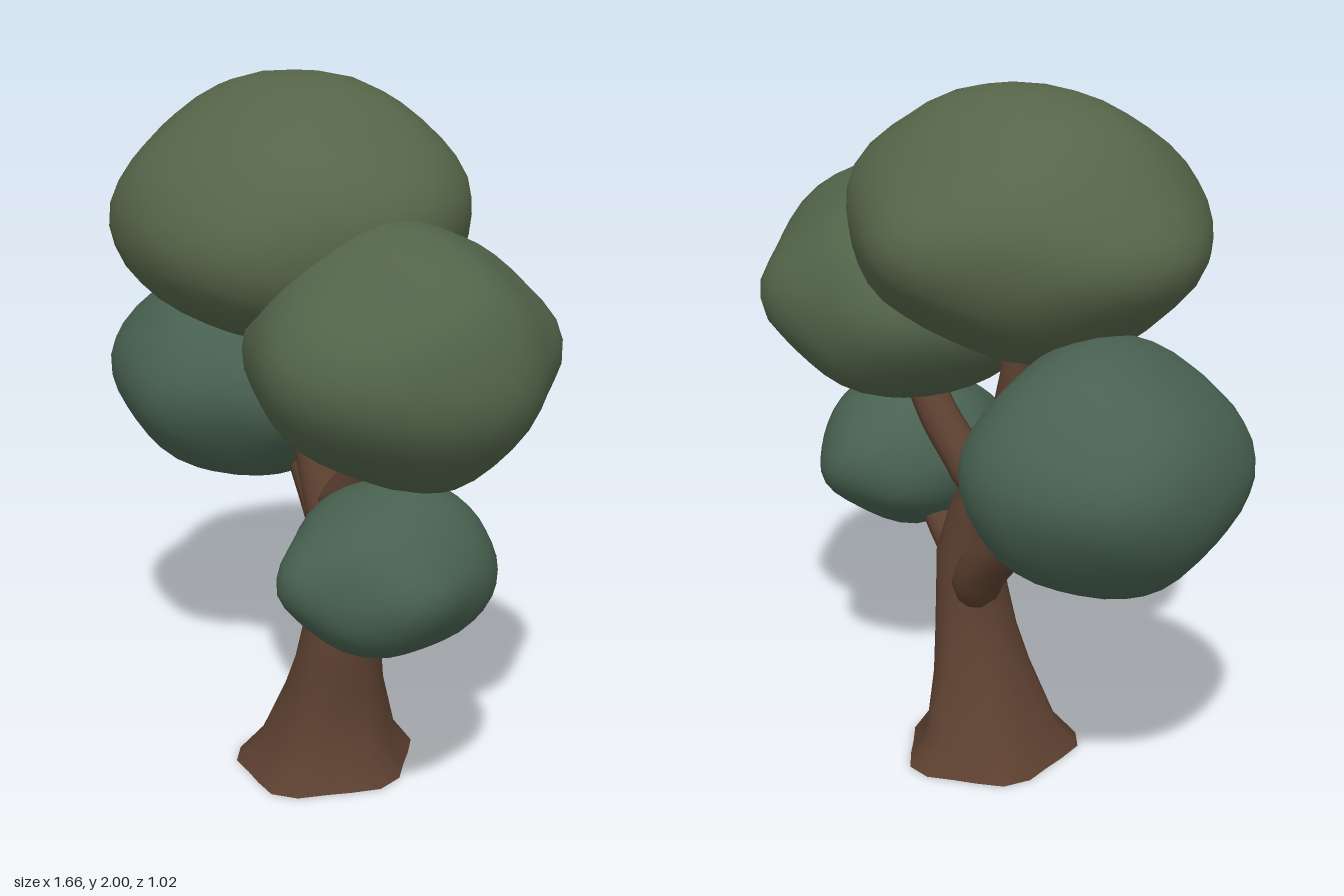
import * as THREE from 'three';
import { mergeVertices, toCreasedNormals } from 'three/addons/utils/BufferGeometryUtils.js';

const paint = (color) => new THREE.MeshStandardMaterial({ color });
const bark = paint(0x5c4030);

function addMesh(group, name, geometry, material) {
  const mesh = new THREE.Mesh(geometry, material);
  mesh.name = name;
  group.add(mesh);
}

// Weld a geometry so that its normals run smoothly over seams
function weld(geometry) {
  geometry.deleteAttribute('uv');
  geometry.deleteAttribute('normal');
  return mergeVertices(geometry, 1e-4);
}

// Trunk: horizontal rings of [x, y, z, x radius, z radius], with root lobes at the foot
function trunkGeometry() {
  const rings = [
    [0.05, 0, 0.005, 0.235, 0.26],
    [0.055, 0.08, 0, 0.178, 0.2],
    [0.088, 0.25, 0.005, 0.13, 0.152],
    [0.113, 0.36, 0.01, 0.11, 0.13],
    [0.13, 0.48, 0.012, 0.096, 0.114],
    [0.128, 0.62, 0, 0.09, 0.1],
    [0.085, 0.78, 0, 0.078, 0.082],
    [0.022, 0.9, 0, 0.066, 0.068],
    [-0.025, 1.02, 0, 0.058, 0.058],
    [-0.06, 1.2, 0, 0.048, 0.05],
    [-0.07, 1.42, 0, 0.04, 0.04],
  ];
  const geometry = weld(new THREE.CylinderGeometry(1, 1, 1, 20, rings.length - 1));
  const p = geometry.attributes.position;
  for (let i = 0; i < p.count; i++) {
    const row = Math.round((p.getY(i) + 0.5) * (rings.length - 1));
    const [x, y, z, rx, rz] = rings[row];
    const angle = Math.atan2(p.getZ(i), p.getX(i));
    const lobe = 1 + 0.07 * Math.max(0, 1 - y / 0.4) * Math.cos(5 * angle + 0.6);
    p.setXYZ(i, x + p.getX(i) * rx * lobe, y, z + p.getZ(i) * rz * lobe);
  }
  return toCreasedNormals(geometry, 1);
}

// Branch: a tube with a rounded start that tapers along its path
function branchGeometry(points, startRadius, endRadius) {
  const path = new THREE.CatmullRomCurve3(points.map((q) => new THREE.Vector3(...q)));
  const segments = 20, sides = 10;
  const geometry = new THREE.TubeGeometry(path, segments, 1, sides);
  const p = geometry.attributes.position, v = new THREE.Vector3();
  for (let i = 0; i < p.count; i++) {
    const t = Math.floor(i / (sides + 1)) / segments;
    const round = Math.sqrt(1 - Math.max(0, 1 - t / 0.15) ** 2);
    const radius = THREE.MathUtils.lerp(startRadius, endRadius, t) * round;
    const centre = path.getPointAt(t);
    v.fromBufferAttribute(p, i).sub(centre).multiplyScalar(radius).add(centre);
    p.setXYZ(i, v.x, v.y, v.z);
  }
  const smooth = weld(geometry);
  smooth.computeVertexNormals();
  return smooth;
}

// Foliage: a sphere with soft bumps, fitted between two corners
function foliageGeometry(min, max, bumps, seed) {
  const geometry = weld(new THREE.IcosahedronGeometry(1, 6));
  const p = geometry.attributes.position, v = new THREE.Vector3();
  const peaks = bumps.map((b) => new THREE.Vector3(...b).normalize());
  for (let i = 0; i < p.count; i++) {
    v.fromBufferAttribute(p, i).normalize();
    let r = 1;
    for (const peak of peaks) r += 0.1 * Math.exp(-((v.angleTo(peak) / 0.42) ** 2));
    r += 0.022 * Math.sin(5 * v.x + seed) * Math.sin(5 * v.y + 2 * seed) + 0.018 * Math.sin(6 * v.z + 3 * v.x + 3 * seed);
    v.multiplyScalar(r);
    p.setXYZ(i, v.x, v.y, v.z);
  }
  geometry.computeBoundingBox();
  const from = geometry.boundingBox, size = from.getSize(new THREE.Vector3());
  const low = new THREE.Vector3(...min), span = new THREE.Vector3(...max).sub(low);
  for (let i = 0; i < p.count; i++) {
    v.fromBufferAttribute(p, i).sub(from.min).divide(size).multiply(span).add(low);
    p.setXYZ(i, v.x, v.y, v.z);
  }
  geometry.computeVertexNormals();
  return geometry;
}

export function createModel() {
  const tree = new THREE.Group();
  tree.name = 'tree';

  addMesh(tree, 'trunk', trunkGeometry(), bark);

  const branches = [
    ['rightBranch', [[0.09, 0.48, -0.03], [0.0, 0.61, -0.08], [-0.2, 0.8, -0.14], [-0.4, 1.0, -0.17]], 0.078, 0.05],
    ['upperLeftBranch', [[0.09, 0.79, 0.02], [0.16, 0.86, 0.03], [0.28, 0.99, 0.03], [0.42, 1.2, 0.05]], 0.065, 0.05],
    ['lowerLeftBranch', [[0.17, 0.47, 0.06], [0.24, 0.52, 0.08], [0.34, 0.61, 0.1], [0.46, 0.75, 0.13]], 0.052, 0.036],
  ];
  for (const [name, points, start, end] of branches) addMesh(tree, name, branchGeometry(points, start, end), bark);

  // Foliage clumps: lower corner, upper corner, bump directions, seed, colour
  const clumps = [
    ['crownFoliage', [-0.6, 1.25, -0.49], [0.45, 2, 0.51],
      [[-1, -0.1, -0.05], [0, 0.1, -1], [1, 0.25, -0.15], [0.55, -0.1, 0.85], [-0.65, -0.1, 0.8],
        [-0.3, 1, 0.1], [0.3, 1, -0.2], [-0.2, -1, 0]], 1, 0x566549],
    ['leftFoliage', [0, 1.0, -0.36], [0.83, 1.71, 0.48],
      [[0.5, 0, -0.9], [-0.5, 0, -0.8], [1, -0.1, 0], [0, 0.1, 1], [-0.9, -0.3, 0.3],
        [0, 1, 0.1], [0.8, 0.7, 0.1], [0.5, -0.9, 0]], 2.3, 0x52644a],
    ['rightFoliage', [-0.83, 0.73, -0.51], [-0.08, 1.41, 0.3],
      [[0.25, 0.1, -1], [-0.85, 0.1, -0.5], [-0.9, 0, 0.5], [0.2, 0, 1], [1, -0.2, 0.2],
        [0.1, 1, 0], [-0.4, -0.9, 0.1], [0.4, -0.9, -0.2]], 3.7, 0x486150],
    ['lowerLeftFoliage', [0.22, 0.55, -0.16], [0.77, 1.04, 0.48],
      [[1, 0, 0.3], [-0.2, 0, 1], [-1, 0.1, 0.1], [0.3, -0.2, -1], [0.1, 1, -0.2], [0, -1, 0.1]], 5.1, 0x486150],
  ];
  for (const [name, min, max, bumps, seed, color] of clumps) {
    addMesh(tree, name, foliageGeometry(min, max, bumps, seed), paint(color));
  }
  return tree;
}
